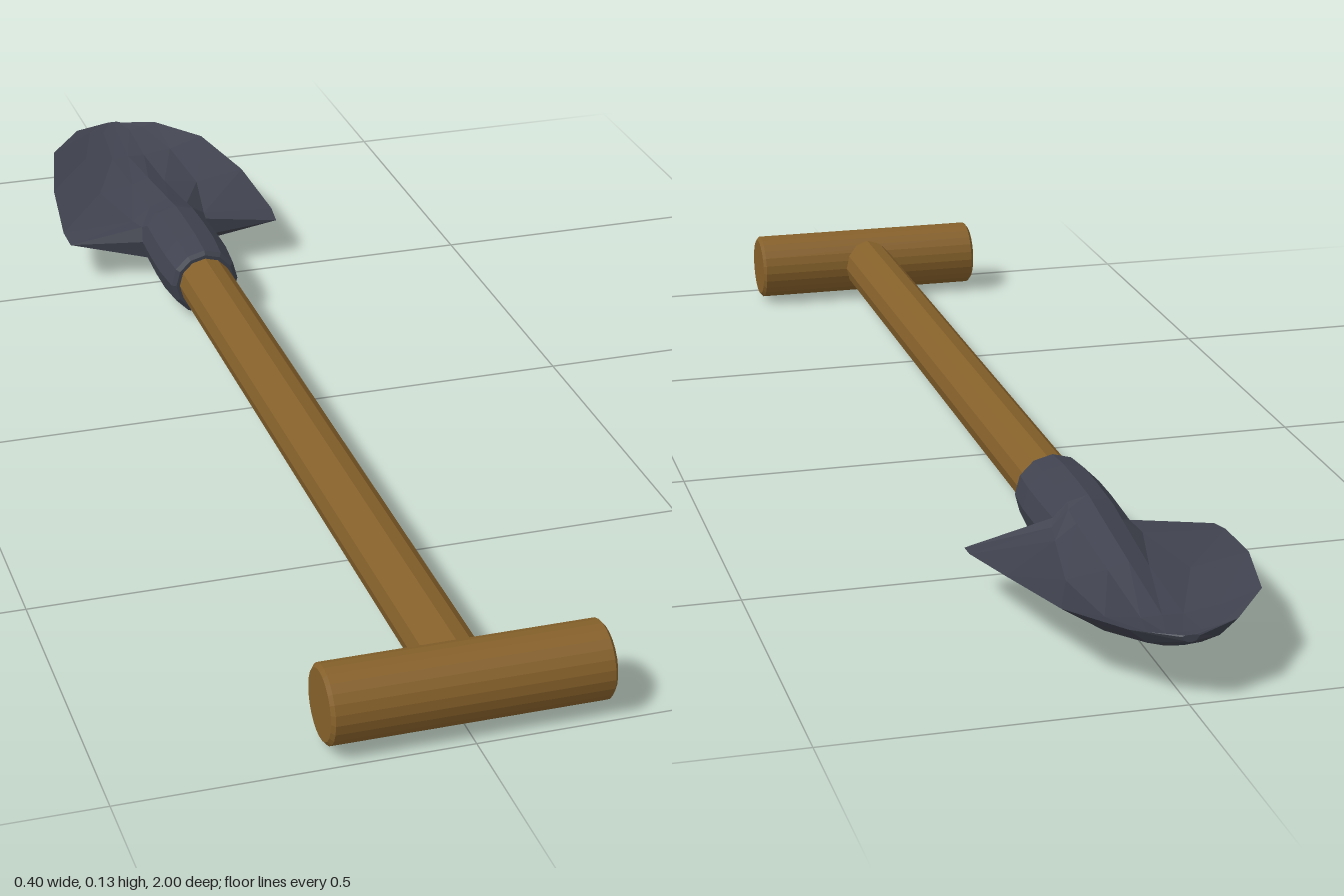
import * as THREE from 'three';

const AXIS_Y = 0.066; // height of the shaft's centre line
const wood = new THREE.MeshStandardMaterial({ color: 0x85602a, flatShading: true });
const steel = new THREE.MeshStandardMaterial({ color: 0x40434f, flatShading: true });

function named(name, geometry, material) {
  const mesh = new THREE.Mesh(geometry, material);
  mesh.name = name;
  return mesh;
}

// Twelve-sided round section of the socket
function roundSection(z, r) {
  const pts = [];
  for (let i = 0; i < 12; i++) {
    const a = (i * Math.PI) / 6;
    pts.push([r * Math.cos(a), AXIS_Y + r * Math.sin(a), z]);
  }
  return pts;
}

// Twelve-point blade section: edge, wing root, ridge side and ridge, mirrored
// w/e: edge x and y; x1, x2: inner points with upper (u) and lower (l) heights
function bladeSection([z, w, e, x1, u1, l1, x2, u2, l2, top, bottom]) {
  return [
    [w, e], [x1, u1], [x2, u2], [0, top], [-x2, u2], [-x1, u1],
    [-w, e], [-x1, l1], [-x2, l2], [0, bottom], [x2, l2], [x1, l1],
  ].map(([x, y]) => [x, y, z]);
}

// Closed skin over sections that run towards -z
function loft(sections) {
  const n = sections[0].length;
  const index = [];
  for (let s = 0; s < sections.length - 1; s++) {
    for (let j = 0; j < n; j++) {
      const a = s * n + j;
      const b = s * n + ((j + 1) % n);
      index.push(a, a + n, b, b, a + n, b + n);
    }
  }
  const last = (sections.length - 1) * n;
  for (let j = 1; j < n - 1; j++) {
    index.push(0, j, j + 1);
    index.push(last, last + j + 1, last + j);
  }
  const geometry = new THREE.BufferGeometry();
  geometry.setAttribute('position', new THREE.Float32BufferAttribute(sections.flat(2), 3));
  geometry.setIndex(index);
  geometry.computeVertexNormals();
  return geometry;
}

export function createModel() {
  const model = new THREE.Group();
  model.name = 'shovel';

  // Cross grip with slightly bevelled ends
  const gripProfile = [[0, -0.201], [0.05, -0.201], [0.056, -0.196], [0.056, 0.196], [0.05, 0.201], [0, 0.201]]
    .map(([r, y]) => new THREE.Vector2(r, y));
  const grip = named('grip', new THREE.LatheGeometry(gripProfile, 24), wood);
  grip.rotation.z = Math.PI / 2;
  grip.position.set(0, AXIS_Y, 0.943);
  model.add(grip);

  // Straight shaft from inside the grip to inside the socket
  const shaft = named('shaft', new THREE.CylinderGeometry(0.045, 0.045, 1.34, 12), wood);
  shaft.rotation.x = Math.PI / 2;
  shaft.position.set(0, AXIS_Y, 0.27);
  model.add(shaft);

  // Socket flowing into a dished, pointed blade with a fading central ridge
  const blade = named('blade', loft([
    roundSection(-0.345, 0.051),
    roundSection(-0.35, 0.058),
    roundSection(-0.41, 0.063),
    roundSection(-0.47, 0.063),
    roundSection(-0.535, 0.061),
    bladeSection([-0.55, 0.187, 0.07, 0.058, 0.088, 0.05, 0.034, 0.113, 0.018, 0.125, 0.008]),
    bladeSection([-0.59, 0.19, 0.076, 0.065, 0.083, 0.05, 0.034, 0.106, 0.021, 0.119, 0.012]),
    bladeSection([-0.73, 0.175, 0.096, 0.09, 0.081, 0.058, 0.03, 0.09, 0.032, 0.1, 0.026]),
    bladeSection([-0.88, 0.14, 0.105, 0.08, 0.087, 0.067, 0.03, 0.08, 0.053, 0.081, 0.05]),
    bladeSection([-0.97, 0.075, 0.105, 0.05, 0.099, 0.084, 0.025, 0.095, 0.077, 0.094, 0.075]),
    bladeSection([-1, 0.012, 0.1, 0.008, 0.102, 0.094, 0.004, 0.102, 0.092, 0.102, 0.092]),
  ]), steel);
  model.add(blade);

  return model;
}
